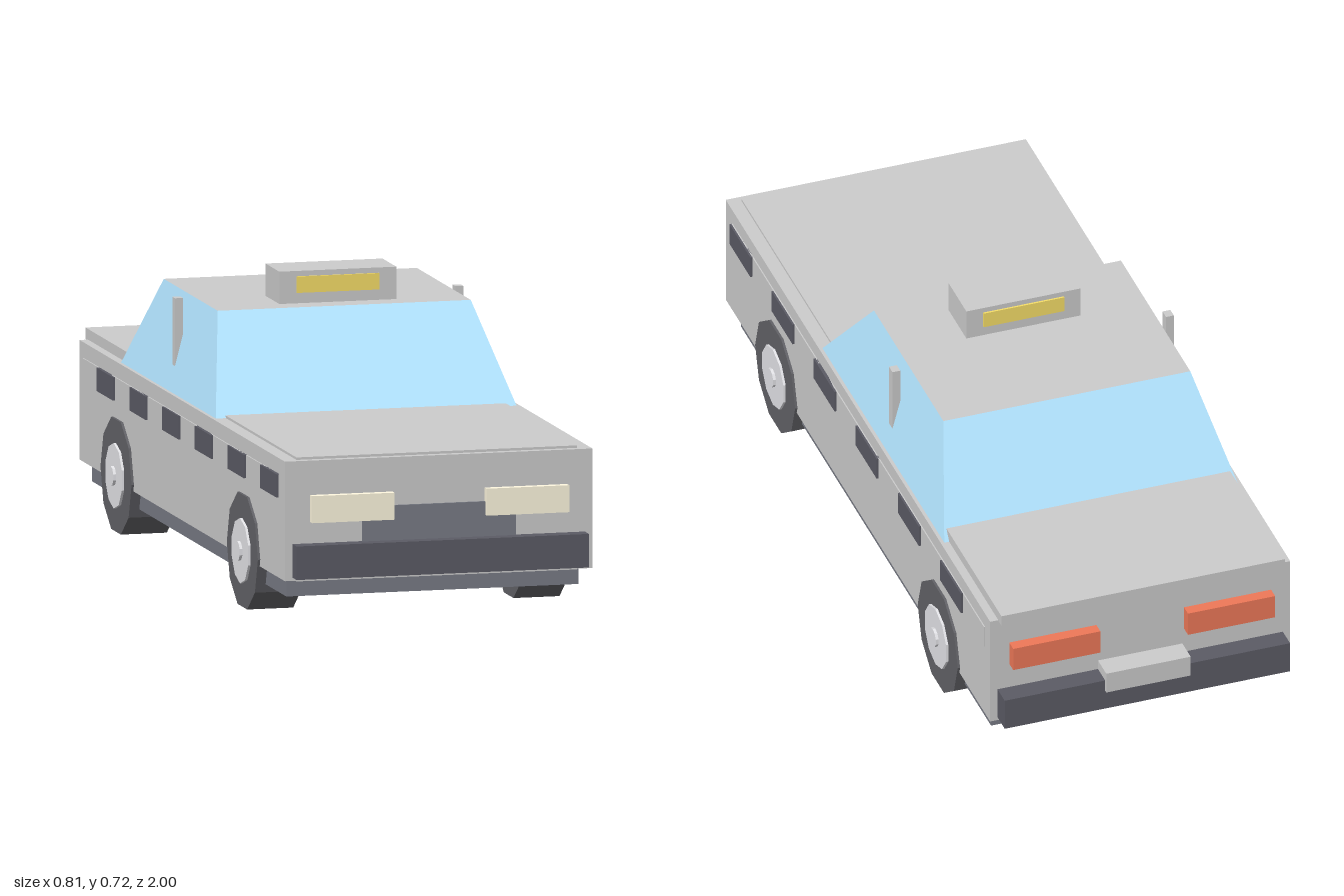
import * as THREE from 'three';

const mat = (color) => new THREE.MeshStandardMaterial({ color, flatShading: true });

export function createModel() {
  const car = new THREE.Group();
  car.name = 'taxi';
  const paint = mat(0xcccccc), dark = mat(0x5b5b65), under = mat(0x787b85);
  const glass = mat(0xb2e4ff), cream = mat(0xfff8df), red = mat(0xee7858);
  const yellow = mat(0xf5dd68), rubber = mat(0x626267), metal = mat(0xe4e4e8);

  const add = (name, geometry, material) => {
    const mesh = new THREE.Mesh(geometry, material);
    mesh.name = name;
    car.add(mesh);
    return mesh;
  };
  // Box given by its extents on each axis
  const box = (name, material, x0, x1, y0, y1, z0, z1) => {
    const mesh = add(name, new THREE.BoxGeometry(x1 - x0, y1 - y0, z1 - z0), material);
    mesh.position.set((x0 + x1) / 2, (y0 + y1) / 2, (z0 + z1) / 2);
    return mesh;
  };
  // Box centred on x = 0
  const mid = (name, material, w, ...rest) => box(name, material, -w, w, ...rest);
  // Mirrored pair of boxes
  const pair = (name, material, x0, x1, ...rest) => {
    box(name + 'Left', material, x0, x1, ...rest);
    box(name + 'Right', material, -x1, -x0, ...rest);
  };

  // Body shell
  mid('body', paint, 0.384, 0.12, 0.412, -0.94, 0.962);
  mid('hood', paint, 0.35, 0.41, 0.418, 0.28, 0.943);
  mid('trunkLid', paint, 0.363, 0.41, 0.438, -0.963, -0.56);
  mid('sill', paint, 0.35, 0.115, 0.125, -0.92, 0.943);
  mid('chassis', under, 0.365, 0.073, 0.119, -0.893, 0.905);

  // Cabin: a box tapered toward the roof
  const cabinGeo = new THREE.BoxGeometry(1, 1, 1);
  const p = cabinGeo.attributes.position;
  for (let i = 0; i < p.count; i++) {
    const top = p.getY(i) > 0, front = p.getZ(i) > 0;
    p.setXYZ(i,
      Math.sign(p.getX(i)) * (top ? 0.316 : 0.376),
      top ? 0.641 : 0.41,
      front ? (top ? 0.087 : 0.292) : (top ? -0.412 : -0.588));
  }
  cabinGeo.computeVertexNormals();
  // Material order: +x, -x, top, bottom, front, back
  add('cabin', cabinGeo, [glass, glass, paint, paint, glass, glass]);
  pair('doorPillar', paint, 0.34, 0.36, 0.412, 0.637, -0.17, -0.145);

  // Roof sign with a lit panel front and back
  mid('roofSign', paint, 0.146, 0.641, 0.72, -0.1, 0.028);
  mid('roofSignPanel', yellow, 0.103, 0.667, 0.707, -0.105, 0.033);

  // Front end
  mid('frontBumper', dark, 0.365, 0.128, 0.21, 0.95, 1.0);
  mid('grille', under, 0.192, 0.2, 0.295, 0.95, 0.968);
  pair('headlight', cream, 0.115, 0.321, 0.262, 0.328, 0.95, 0.981);

  // Rear end
  mid('rearBumper', dark, 0.365, 0.128, 0.21, -0.992, -0.93);
  mid('rearPlate', paint, 0.108, 0.18, 0.235, -1.0, -0.93);
  pair('taillight', red, 0.112, 0.335, 0.278, 0.34, -0.969, -0.93);

  // Checkered side stripe
  const z0 = 0.914, step = 0.1515;
  pair('stripe', paint, 0.38, 0.387, 0.317, 0.374, z0 - 12 * step, z0);
  for (let i = 0; i < 12; i += 2) {
    pair('stripeCheck' + i, dark, 0.38, 0.392, 0.317, 0.374, z0 - (i + 1) * step, z0 - i * step);
  }

  // Wheels: ten-sided tyre, rim and hub along the x axis
  const disc = (radius, x0, x1, start = 0) => new THREE.CylinderGeometry(radius, radius, x1 - x0, 10, 1, false, start)
    .rotateZ(-Math.PI / 2).translate((x0 + x1) / 2, 0, 0);
  const parts = [
    ['tyre', disc(0.144, 0.275, 0.39), rubber],
    ['rim', disc(0.08, 0.36, 0.396, Math.PI / 10), metal],
    ['hub', disc(0.024, 0.38, 0.403, Math.PI / 10), metal],
  ];
  for (const [end, z] of [['front', 0.59], ['rear', -0.58]]) {
    for (const side of [1, -1]) {
      const wheel = new THREE.Group();
      wheel.name = end + (side > 0 ? 'Left' : 'Right') + 'Wheel';
      for (const [name, geometry, material] of parts) {
        const mesh = new THREE.Mesh(geometry, material);
        mesh.name = name;
        wheel.add(mesh);
      }
      wheel.position.set(0, 0.137, z);
      wheel.rotation.y = side > 0 ? 0 : Math.PI;
      car.add(wheel);
    }
  }
  return car;
}
